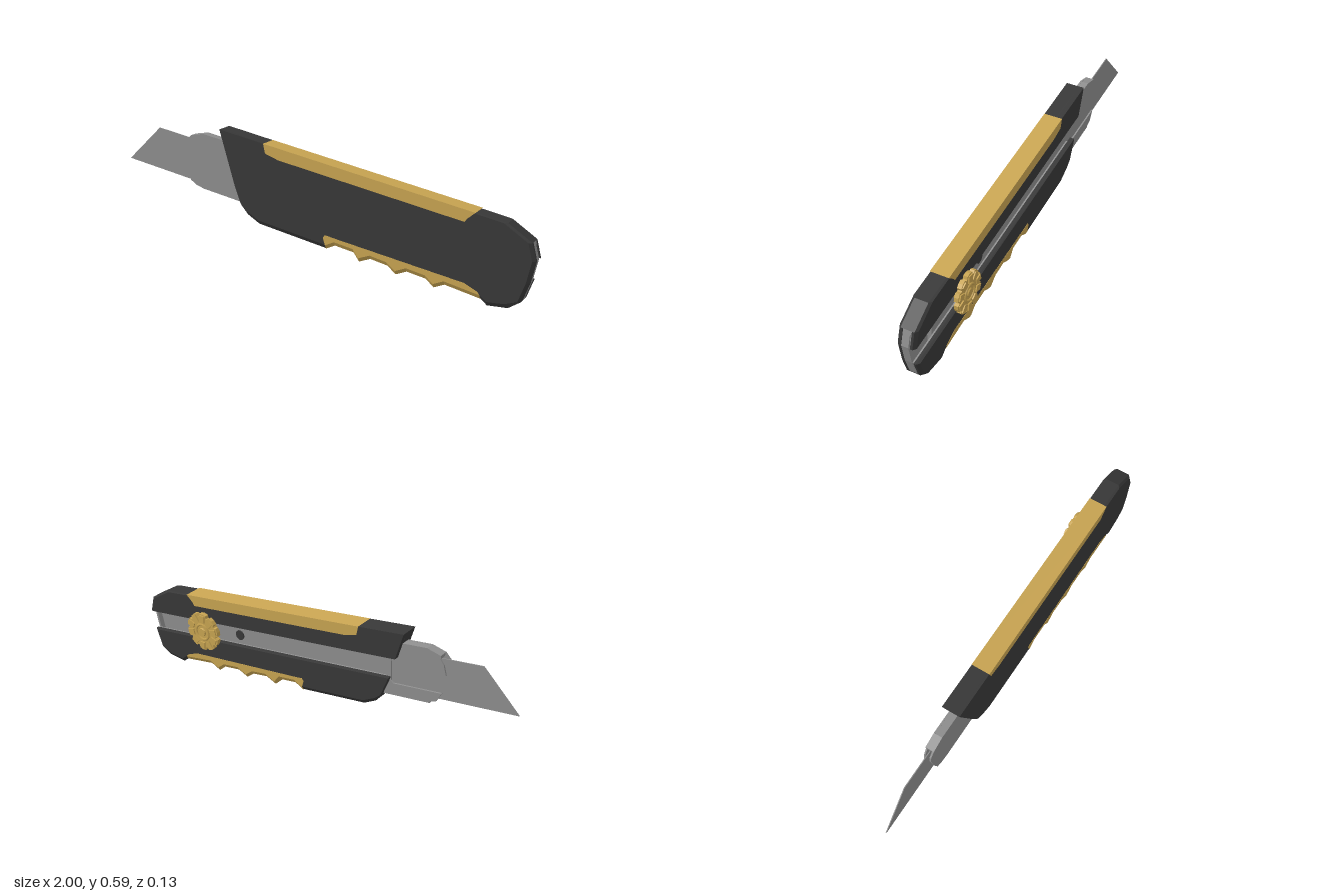
import * as THREE from 'three';

const mat = (name, color, side = THREE.FrontSide) => {
  const m = new THREE.MeshStandardMaterial({ color, side });
  m.name = name;
  return m;
};

// Upper edge line of the handle, and a point lying d below it
const top = (x) => 0.5125 - 0.167 * x;
const P = (x, d) => [x, top(x) - d];

export function createModel() {
  const dark = mat('dark plastic', 0x383838);
  const gold = mat('gold rubber', 0xc9a552);
  const steel = mat('grey steel', 0x8f8f8f);

  const model = new THREE.Group();
  model.name = 'utilityKnife';

  function add(name, geometry, material) {
    const m = new THREE.Mesh(geometry, material);
    m.name = name;
    model.add(m);
    return m;
  }

  // Flat slab between two depths; bottom and rear rims are chamfered on the outer faces
  function slab(name, pts, z0, z1, material, steps = 1, chamfer = false) {
    const shape = new THREE.Shape(pts.map((p) => new THREE.Vector2(p[0], p[1])));
    const g = new THREE.ExtrudeGeometry(shape, { depth: z1 - z0, steps, bevelEnabled: false });
    g.translate(0, 0, z0);
    if (chamfer) {
      const p = g.attributes.position;
      for (let i = 0; i < p.count; i++) {
        const x = p.getX(i), y = p.getY(i);
        if (Math.abs(p.getZ(i)) < 0.0415) continue;
        if (top(x) - y > 0.33) p.setY(i, y + 0.018);
        if (x > 0.86) p.setX(i, x - 0.014);
      }
      g.computeVertexNormals();
    }
    return add(name, g, material);
  }

  // Handle outline pieces
  const grip = [[0.056, 0.126], [0.1, 0.147], [0.19, 0.131], [0.217, 0.094], [0.27, 0.115],
    [0.35, 0.099], [0.39, 0.067], [0.44, 0.088], [0.527, 0.072], [0.564, 0.04],
    [0.612, 0.061], [0.77, 0.029]];
  const bottom = [[-0.37, 0.265], [-0.34, 0.22], [-0.28, 0.185], ...grip,
    [0.8, 0.003], [0.89, 0.008], [0.945, 0.045]];
  const topEdge = [[0.975, 0.3], [0.87, 0.367], [-0.48, 0.595]];

  // Handle: front shell, top and bottom walls, two back rails with a slot between
  slab('frontShell', [...bottom, [0.975, 0.13], [0.995, 0.225], ...topEdge, [-0.4, 0.34]],
    0.02, 0.042, dark, 2, true);
  slab('topWall', [...topEdge, P(-0.464, 0.05)], -0.02, 0.02, dark);
  slab('bottomWall', bottom, -0.02, 0.02, dark);
  slab('upperRail', [[0.995, 0.225], ...topEdge, P(-0.44, 0.121)], -0.042, -0.02, dark, 2, true);
  slab('lowerRail', [...bottom, [0.975, 0.13], P(-0.407, 0.22), [-0.4, 0.34]],
    -0.042, -0.02, dark, 2, true);

  // Soft inlays wrapped around the upper and lower edges
  slab('topInlay', [[-0.255, 0.555], [-0.245, 0.512], [-0.18, 0.49], [0.69, 0.345], [0.7, 0.36],
    [0.735, 0.39]], -0.043, 0.043, gold).position.y = 0.002;
  slab('fingerGrip', [...grip, [0.76, 0.06], [0.7, 0.088], [0.1, 0.182], [0.055, 0.19],
    [0.045, 0.16]], -0.043, 0.043, gold, 8, true).position.y = -0.002;

  // Steel channel: front plate, edge walls, back lips and rear wall
  const nose = [[-0.58, 0.558], [-0.645, 0.545], [-0.67, 0.52], [-0.675, 0.49],
    [-0.665, 0.4], [-0.65, 0.335], [-0.62, 0.315], [-0.58, 0.302]];
  slab('channelPlate', [...nose, P(0.943, 0.31), [0.973, 0.13], [0.993, 0.225], P(0.973, 0.052)],
    0.012, 0.02, steel);
  slab('channelTopWall', [P(-0.58, 0.052), P(0.973, 0.052), P(0.977, 0.066), P(-0.58, 0.066),
    [-0.645, 0.53], [-0.645, 0.545]], -0.02, 0.012, steel);
  slab('channelBottomWall', [P(-0.6, 0.309), P(0.943, 0.309), P(0.945, 0.296), P(-0.6, 0.296)],
    -0.02, 0.012, steel);
  slab('channelUpperLip', [[-0.58, 0.558], [-0.63, 0.545], [-0.66, 0.505], P(-0.672, 0.165),
    P(-0.46, 0.165), P(-0.43, 0.13), P(0.985, 0.13), P(0.973, 0.053)], -0.02, -0.013, steel);
  slab('channelLowerLip', [P(-0.655, 0.252), P(-0.63, 0.295), P(-0.57, 0.309), P(0.943, 0.309),
    P(0.97, 0.22), P(-0.38, 0.22), P(-0.42, 0.252)], -0.02, -0.013, steel);
  slab('channelRearWall', [P(0.973, 0.053), [0.993, 0.225], [0.973, 0.13], P(0.943, 0.309),
    P(0.93, 0.309), [0.961, 0.13], [0.981, 0.225], P(0.961, 0.053)], -0.012, 0.014, steel);

  // Blade and the slider carrying it
  slab('blade', [[-1, 0.39], P(-0.3, 0.29), P(-0.3, 0.096), [-0.83, 0.555]], -0.002, 0.002, steel);
  slab('slider', [P(-0.4, 0.07), P(-0.4, 0.29), P(0.82, 0.29), P(0.82, 0.07)], -0.009, 0.011, steel);

  // Pin hole in the slider
  const pin = add('pinHole', new THREE.CylinderGeometry(0.024, 0.024, 0.008, 12), dark);
  pin.rotation.x = Math.PI / 2;
  pin.position.set(0.44, 0.262, -0.011);

  // Locking wheel: toothed disc, raised segments, ring and button
  const wheel = new THREE.Group();
  wheel.name = 'lockingWheel';
  wheel.position.set(0.622, 0.243, 0);
  model.add(wheel);
  const part = (name, geometry) => {
    const m = new THREE.Mesh(geometry, gold);
    m.name = name;
    wheel.add(m);
    return m;
  };
  const disc = (name, r0, r1, z0, z1, n = 20) => {
    const m = part(name, new THREE.CylinderGeometry(r0, r1, z1 - z0, n).toNonIndexed());
    m.geometry.computeVertexNormals();
    m.rotation.x = Math.PI / 2;
    m.position.z = (z0 + z1) / 2;
  };
  const TEETH = 10;
  const gear = [];
  for (let i = 0; i < TEETH; i++) {
    [[0.0, 0.08], [0.14, 0.08], [0.24, 0.093], [0.57, 0.095], [0.9, 0.093]].forEach(([f, r]) => {
      const a = ((i + f) / TEETH) * Math.PI * 2;
      gear.push(new THREE.Vector2(r * Math.cos(a), r * Math.sin(a)));
    });
  }
  const gearGeo = new THREE.ExtrudeGeometry(new THREE.Shape(gear), { depth: 0.02, bevelEnabled: false });
  gearGeo.translate(0, 0, -0.07);
  part('wheelRim', gearGeo);
  for (let i = 0; i < TEETH; i++) {
    const a = ((i + 0.57) / TEETH) * Math.PI * 2;
    const seg = part('wheelSegment', new THREE.BoxGeometry(0.034, 0.028, 0.008));
    seg.position.set(0.07 * Math.cos(a), 0.07 * Math.sin(a), -0.0715);
    seg.rotation.z = a;
  }
  const ring = part('wheelRing', new THREE.TorusGeometry(0.038, 0.006, 4, 20));
  ring.position.z = -0.07;
  disc('wheelButton', 0.022, 0.018, -0.075, -0.068, 14);
  disc('wheelStem', 0.04, 0.04, -0.052, -0.008, 16);

  // Slight lean of the whole knife
  model.rotation.x = -0.03;
  model.position.z = 0.0225;
  const root = new THREE.Group();
  root.name = 'knife';
  root.add(model);
  return root;
}
